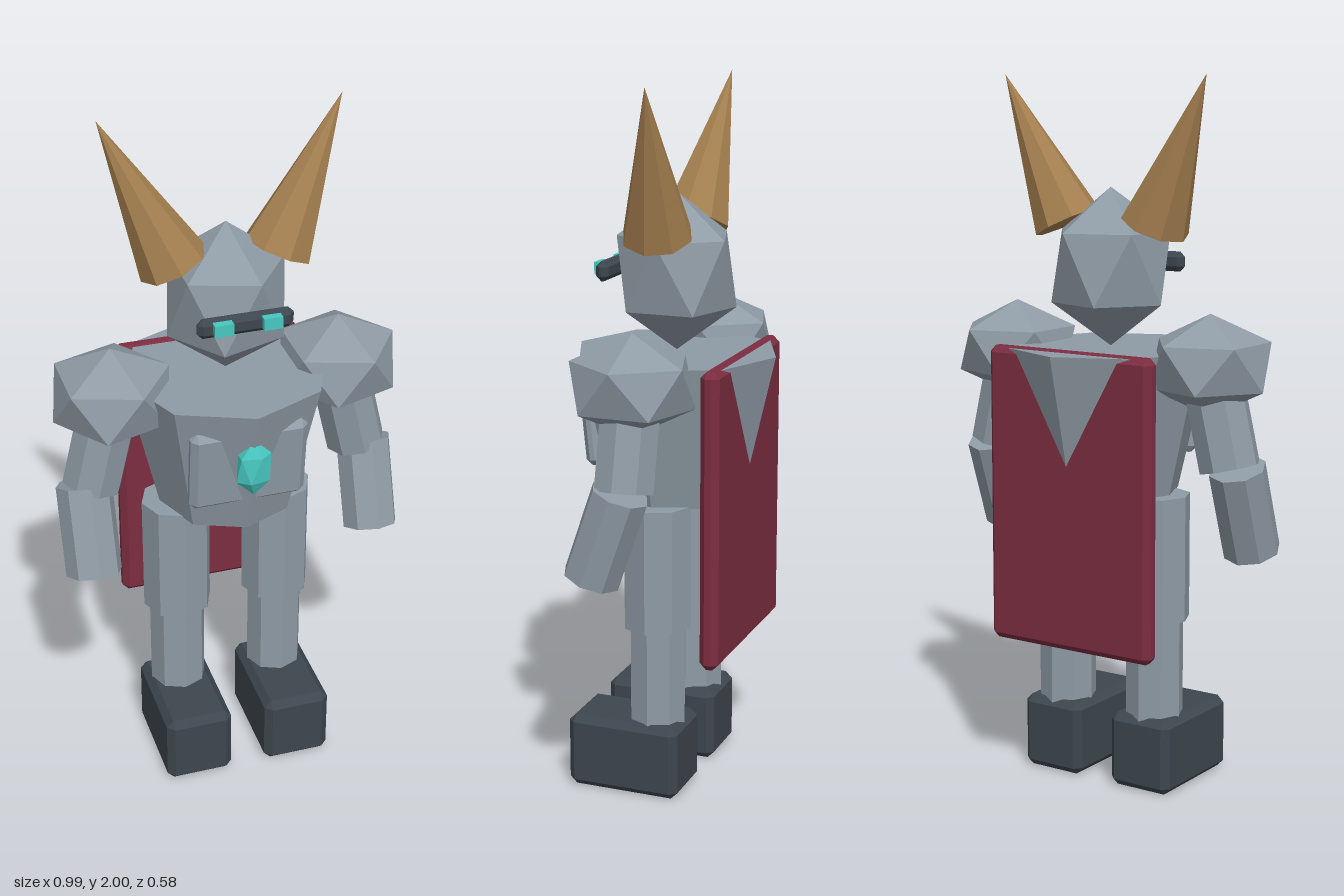
import * as THREE from 'three';
import { ConvexGeometry } from 'three/addons/geometries/ConvexGeometry.js';

const V = (x, y, z) => new THREE.Vector3(x, y, z);

function material(name, color) {
  const m = new THREE.MeshStandardMaterial({ color });
  m.name = name;
  m.flatShading = true;
  return m;
}

export function createModel() {
  const steel = material('steel', 0x8f9ba5);
  const dark = material('darkIron', 0x3d464e);
  const red = material('crimsonCloth', 0x7c2d40);
  const horn = material('horn', 0xa58050);
  const glow = material('turquoise', 0x48c8c0);

  const model = new THREE.Group();
  model.name = 'hornedKnight';

  function add(name, geometry, mat, x = 0, y = 0, z = 0) {
    const mesh = new THREE.Mesh(geometry, mat);
    mesh.name = name;
    mesh.position.set(x, y, z);
    model.add(mesh);
    return mesh;
  }

  // Twenty-sided ball with one corner up, stretched by the three radii
  function facetBall(rx, ry, rz) {
    const points = [V(0, ry, 0), V(0, -ry, 0)];
    for (let i = 0; i < 5; i++) {
      const a = (i / 5) * Math.PI * 2;
      const c = Math.cos(a) * 0.8944, s = Math.sin(a) * 0.8944;
      points.push(V(c * rx, 0.4472 * ry, s * rz));
      points.push(V(-c * rx, -0.4472 * ry, s * rz));
    }
    return new ConvexGeometry(points);
  }

  // Box with one flat bevel along every edge
  function bevelBox(w, h, d, b) {
    const points = [];
    for (const sx of [-1, 1]) for (const sy of [-1, 1]) for (const sz of [-1, 1]) {
      const x = w / 2, y = h / 2, z = d / 2;
      points.push(V(sx * x, sy * (y - b), sz * (z - b)));
      points.push(V(sx * (x - b), sy * y, sz * (z - b)));
      points.push(V(sx * (x - b), sy * (y - b), sz * z));
    }
    return new ConvexGeometry(points);
  }

  // Eight-sided limb or cone running from one point to another
  function limb(name, mat, from, to, rFrom, rTo) {
    const dir = to.clone().sub(from);
    const mesh = add(name, new THREE.CylinderGeometry(rTo, rFrom, dir.length(), 8), mat);
    mesh.position.copy(from).add(to).multiplyScalar(0.5);
    mesh.quaternion.setFromUnitVectors(V(0, 1, 0), dir.normalize());
    return mesh;
  }

  // Body and head
  add('torso', new THREE.CylinderGeometry(0.29, 0.195, 0.41, 8), steel, 0, 1.045, 0);
  add('head', facetBall(0.185, 0.22, 0.185), steel, 0, 1.47, 0);

  // Chest plate with its gem
  const plate = add('chestPlate', bevelBox(0.33, 0.25, 0.05, 0.018), steel, 0, 1.058, 0.199);
  plate.rotation.x = 0.1;
  add('chestGem', facetBall(0.055, 0.087, 0.029), glow, 0, 1.077, 0.257);

  // Visor and cape
  add('visor', bevelBox(0.265, 0.056, 0.036, 0.015), dark, 0, 1.477, 0.173);
  add('cape', bevelBox(0.536, 0.84, 0.054, 0.018), red, 0, 0.835, -0.191);

  for (const s of [1, -1]) {
    const side = s > 0 ? 'left' : 'right';

    add(side + 'Eye', new THREE.BoxGeometry(0.052, 0.034, 0.035), glow, s * 0.067, 1.48, 0.19);
    limb(side + 'Horn', horn, V(s * 0.145, 1.588, 0), V(s * 0.33, 1.995, -0.04), 0.098, 0);

    // Arm
    add(side + 'Shoulder', facetBall(0.184, 0.14, 0.188), steel, s * 0.325, 1.22, 0);
    limb(side + 'UpperArm', steel, V(s * 0.39, 0.943, 0), V(s * 0.325, 1.22, 0), 0.085, 0.085);
    limb(side + 'Forearm', steel, V(s * 0.413, 0.7, 0.085), V(s * 0.413, 0.945, 0), 0.08, 0.08);

    // Leg
    limb(side + 'Thigh', steel, V(s * 0.149, 0.49, 0), V(s * 0.149, 0.845, 0), 0.1, 0.1);
    limb(side + 'Shin', steel, V(s * 0.15, 0.18, 0), V(s * 0.15, 0.52, 0), 0.082, 0.082);
    add(side + 'Boot', bevelBox(0.196, 0.215, 0.33, 0.02), dark, s * 0.15, 0.1075, 0.075);
  }

  return model;
}
